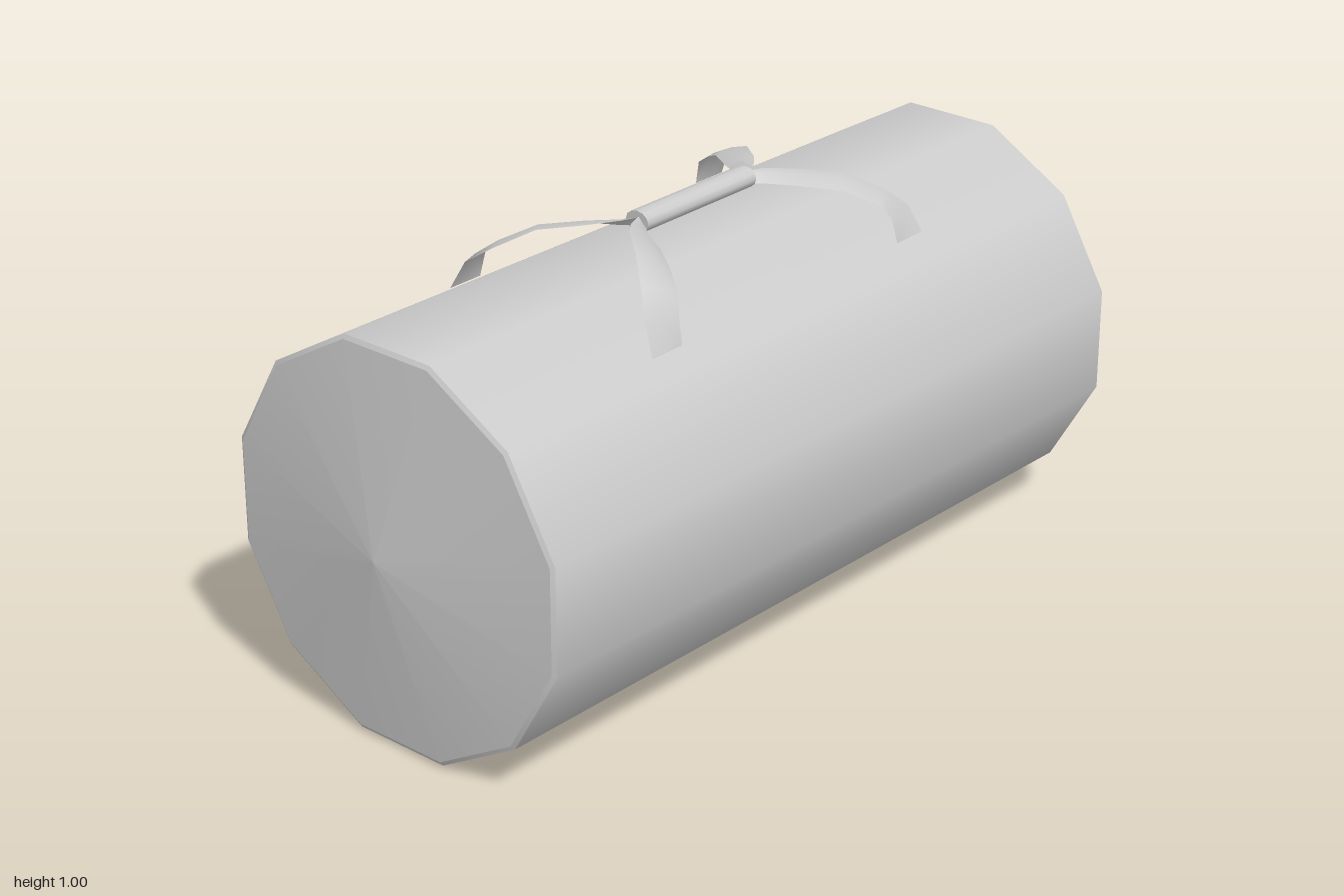
import * as THREE from 'three';

const material = new THREE.MeshStandardMaterial({ color: 0xcccccc });
const clothMaterial = new THREE.MeshStandardMaterial({ color: 0xcccccc, side: THREE.DoubleSide });

const SIDES = 12, RADIUS = 0.476, RIM = 0.466, HALF = 0.94, TIP = 1.0;

// open tapered ring of the bag, along local y from y0 to y1
function section(name, r0, r1, y0, y1) {
  const g = new THREE.CylinderGeometry(r1, r0, y1 - y0, SIDES, 1, true, Math.PI / SIDES);
  g.translate(0, (y0 + y1) / 2, 0);
  const m = new THREE.Mesh(g, material);
  m.name = name;
  return m;
}

// flat strap lofted through stations: centre [x, y, z] and half-width vector [x, y, z]
function strap(name, stations) {
  const pos = [], index = [];
  stations.forEach(([c, w], i) => {
    const mid = i === 0 || i === stations.length - 1 ? 0 : 0.008;
    for (const s of [-1, 0, 1]) {
      pos.push(c[0] + s * w[0], c[1] + s * w[1] + (s === 0 ? mid : 0), c[2] + s * w[2]);
    }
    if (i === 0) return;
    for (let k = 0; k < 2; k++) {
      const a = (i - 1) * 3 + k, b = a + 3;
      index.push(a, b, a + 1, a + 1, b, b + 1);
    }
  });
  const g = new THREE.BufferGeometry();
  g.setAttribute('position', new THREE.Float32BufferAttribute(pos, 3));
  g.setIndex(index);
  g.computeVertexNormals();
  const m = new THREE.Mesh(g, clothMaterial);
  m.name = name;
  return m;
}

export function createModel() {
  const model = new THREE.Group();
  model.name = 'duffelBag';

  // twelve-sided barrel with thin rims and shallow pointed ends
  const bag = new THREE.Group();
  bag.name = 'bag';
  bag.add(section('barrel', RADIUS, RADIUS, -HALF, HALF));
  for (const s of [1, -1]) {
    const end = new THREE.Group();
    end.name = s > 0 ? 'rightTipEnd' : 'leftTipEnd';
    end.name = s > 0 ? 'leftEnd' : 'rightEnd';
    end.add(section('rim', RADIUS, RIM, HALF, HALF + 0.006));
    end.add(section('endCap', RIM, 0, HALF + 0.006, TIP));
    if (s < 0) end.rotation.x = Math.PI;
    bag.add(end);
  }
  bag.rotation.set(0, -0.01, -Math.PI / 2 - 0.003, 'YZX');
  bag.position.y = 0.463;
  model.add(bag);

  // wrapped grip joining the straps
  const handle = new THREE.Group();
  handle.name = 'handle';
  const gripGeo = new THREE.CylinderGeometry(0.025, 0.025, 0.365, 12);
  gripGeo.rotateZ(Math.PI / 2);
  gripGeo.scale(1, 1, 1.3);
  const grip = new THREE.Mesh(gripGeo, material);
  grip.name = 'grip';
  grip.position.set(0, 0.975, -0.005);
  handle.add(grip);

  // four straps spreading from the grip down to the barrel
  const corners = [
    { name: 'frontRightStrap', sx: -1, sz: 1, rise: 0.012, end: 0.28, tilt: 0.022 },
    { name: 'frontLeftStrap', sx: 1, sz: 1, rise: 0, end: 0.28, tilt: 0.008 },
    { name: 'backRightStrap', sx: -1, sz: -1, rise: 0, end: 0.295, tilt: 0.01 },
    { name: 'backLeftStrap', sx: 1, sz: -1, rise: -0.005, end: 0.305, tilt: 0.008 },
  ];
  for (const { name, sx, sz, rise, end, tilt } of corners) {
    const at = (x, y, z, wx, wy, wz) => [[sx * x, y, sz * z], [sx * wx, wy, -sz * wz]];
    handle.add(strap(name, [
      at(0.175, 0.975, 0.005, 0.003, 0.012, 0.008),
      at(0.21, 0.975, 0.025, 0.012, 0.012, 0.012),
      at(0.26, 0.972 + rise * 0.6, 0.085, 0.027, tilt, 0.02),
      at(0.325, 0.962 + rise, 0.165, 0.03, tilt, 0.022),
      at(0.38, 0.925 + rise, 0.232, 0.036, tilt * 0.6, 0.02),
      at(0.407, 0.89, end - 0.018, 0.042, 0.004, 0.01),
      at(0.417, 0.828, end + 0.005, 0.047, 0, 0),
    ]));
  }
  model.add(handle);
  return model;
}
